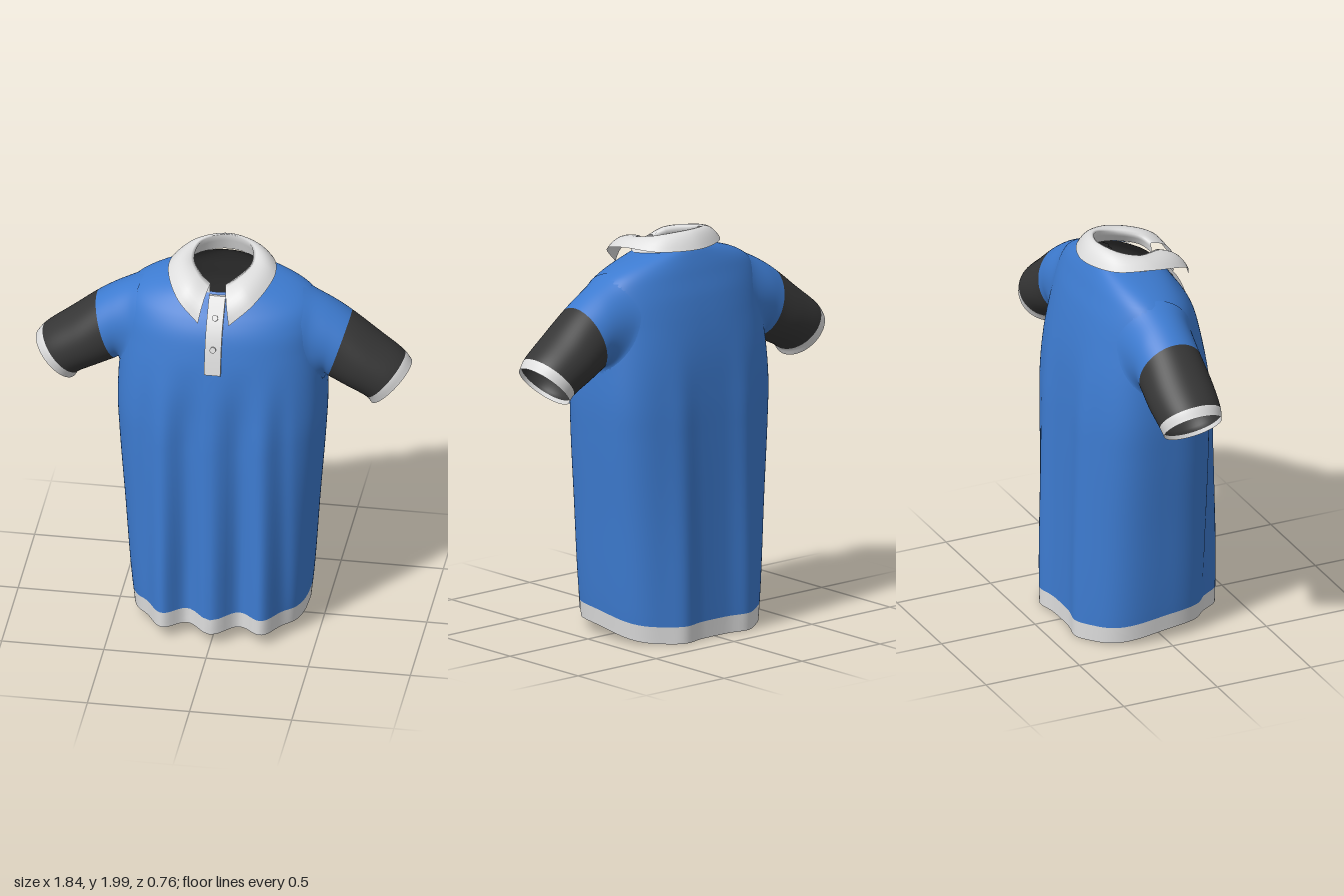
import * as THREE from 'three';

const mat = (name, color, side = THREE.FrontSide) => {
  const m = new THREE.MeshStandardMaterial({ color, side });
  m.name = name;
  return m;
};
const blue = mat('blue cloth', 0x3d7bd0);
const dark = mat('charcoal cloth', 0x363636);
const white = mat('off-white trim', 0xdedede, THREE.DoubleSide);

const { smoothstep } = THREE.MathUtils;

// Skin a list of point rows; materialOf(row) picks the colour, skip(centre) leaves holes
function loft(name, rows, materials, { closed = true, flip = false, materialOf = () => 0, skip = () => false } = {}) {
  const n = rows[0].length, pos = [];
  const buckets = materials.map(() => []);
  rows.forEach(row => row.forEach(p => pos.push(p.x, p.y, p.z)));
  for (let r = 0; r < rows.length - 1; r++) {
    for (let c = 0; c < (closed ? n : n - 1); c++) {
      const c1 = (c + 1) % n;
      const mid = rows[r][c].clone().add(rows[r + 1][c1]).multiplyScalar(0.5);
      if (skip(mid)) continue;
      const a = r * n + c, b = r * n + c1, d = b + n, e = a + n;
      buckets[materialOf(r)].push(...(flip ? [a, d, b, a, e, d] : [a, b, d, a, d, e]));
    }
  }
  const geo = new THREE.BufferGeometry();
  geo.setAttribute('position', new THREE.Float32BufferAttribute(pos, 3));
  let start = 0;
  buckets.forEach((b, i) => { geo.addGroup(start, b.length, i); start += b.length; });
  geo.setIndex(buckets.flat());
  geo.computeVertexNormals();
  const mesh = new THREE.Mesh(geo, materials);
  mesh.name = name;
  return mesh;
}

// Torso levels: height, half width, front depth, back depth
const levels = [
  [0, 0.42, 0.335, 0.36], [0.15, 0.435, 0.335, 0.36], [0.6, 0.465, 0.332, 0.355],
  [1.0, 0.495, 0.328, 0.35], [1.2, 0.505, 0.322, 0.345], [1.4, 0.5, 0.312, 0.332],
  [1.55, 0.492, 0.292, 0.31], [1.68, 0.486, 0.258, 0.28], [1.76, 0.458, 0.222, 0.25],
  [1.8, 0.415, 0.197, 0.235], [1.84, 0.335, 0.172, 0.218], [1.872, 0.237, 0.15, 0.203], [1.885, 0.19, 0.138, 0.195],
];
const profile = new THREE.CubicInterpolant(levels.map(l => l[0]), levels.flatMap(l => l.slice(1)), 3);
const levelAt = y => {
  const [w, zf, zb] = profile.evaluate(y);
  const up = smoothstep(y, 1.1, 1.85), zc = -0.045 * up;
  // Centre depth, then reach and squareness of the front and the back half
  return { w, zc, front: { d: zf - zc, n: 2.6 - 0.5 * up }, back: { d: zb + zc, n: 3.2 - 1.0 * up } };
};
const spow = (v, e) => Math.sign(v) * Math.abs(v) ** e;
const neckTilt = y => 0.15 * smoothstep(y, 1.62, 1.885);
const drape = y => (1 - 0.45 * smoothstep(y, 0.2, 1.15)) * (1 - smoothstep(y, 1.05, 1.55));

function bodyPoint(y, a, inset) {
  const { w, zc, front, back } = levelAt(y);
  const c = Math.cos(a);
  const { d, n } = c > 0 ? front : back;
  const x = (w - inset) * spow(Math.sin(a), 2 / n);
  let z = zc + (d - inset) * spow(c, 2 / n);
  // Hanging folds that deepen toward the hem
  const ax = Math.abs(x);
  if (c > 0) z += drape(y) * 0.045 * Math.cos(ax * Math.PI * 8) * (1 - smoothstep(ax, 0.27, 0.4));
  else z -= drape(y) * 0.03 * Math.exp(-(((ax - 0.2) / 0.075) ** 2));
  const hem = 1 - smoothstep(y, 0, 0.6);
  return new THREE.Vector3(x, y + hem * 0.06 * smoothstep(z, -0.388, 0.12) - neckTilt(y) * (z + 0.06), z);
}

const ring = (n, f) => Array.from({ length: n }, (_, i) => f((i / n) * Math.PI * 2));
const armhole = { y: 1.568, z: -0.045, hy: 0.245, hz: 0.205 };

function makeTorso() {
  const ys = [0, 0.012, 0.025, 0.055, 0.085];
  for (let i = 1; i <= 130; i++) ys.push(0.085 + (1.8 * i) / 130);
  const skip = p => Math.abs(p.x) > 0.2 &&
    ((p.y - armhole.y) / armhole.hy) ** 2 + ((p.z - armhole.z) / armhole.hz) ** 2 < 0.86;
  const rows = inset => ys.map((y, i) => ring(144, a => bodyPoint(y, a, i ? inset : 0)));
  const torso = new THREE.Group();
  torso.name = 'torso';
  torso.add(
    loft('bodyAndHem', rows(0), [white, blue], { skip, materialOf: r => (r < 4 ? 0 : 1) }),
    loft('bodyLining', rows(0.012), [white, dark], { skip, flip: true, materialOf: r => (r < 2 ? 0 : 1) }),
  );
  return torso;
}

// Sleeve sections: top x, top y, bottom x, bottom y, half depth
const sections = [
  [0.53, 1.74, 0.502, 1.36, 0.167], [0.622, 1.68, 0.515, 1.352, 0.165], [0.755, 1.572, 0.605, 1.308, 0.168],
  [0.885, 1.468, 0.7, 1.255, 0.157], [0.918, 1.425, 0.722, 1.222, 0.147],
];
const STEPS = 6;

// Where the torso side lies at a given height and depth
function sideX(y, z) {
  const { w, zc, front, back } = levelAt(y);
  const { d, n } = z > zc ? front : back;
  return w * (1 - Math.min(1, Math.abs(z - zc) / d) ** n) ** (1 / n);
}

function sleeveRows(side, scale) {
  const lines = ring(64, a => {
    const ca = Math.cos(a), sa = Math.sin(a);
    const pts = sections.map(([tx, ty, bx, by, hz], i) => {
      const k = i === sections.length - 1 ? 1 : scale;
      return new THREE.Vector3(
        (tx + bx) / 2 + ((tx - bx) / 2) * ca * k,
        (ty + by) / 2 + ((ty - by) / 2) * ca * k,
        armhole.z + hz * sa * k);
    });
    // Flared root that lies on the torso, then a fillet into the sleeve
    const y = armhole.y + armhole.hy * ca, z = armhole.z + armhole.hz * sa;
    const root = new THREE.Vector3(sideX(y, z) - 0.004, y, z);
    const fillet = root.clone().lerp(pts[0], 0.35 + 0.25 * (1 - Math.max(0, ca)));
    fillet.x = THREE.MathUtils.lerp(root.x, pts[0].x, 0.35);
    return new THREE.CatmullRomCurve3([root, fillet, ...pts]).getPoints(STEPS * (sections.length + 1));
  });
  return lines[0].map((_, r) => lines.map(l => l[r].clone().setX(l[r].x * side)));
}

function makeSleeve(side, name) {
  const sleeve = new THREE.Group();
  sleeve.name = name;
  const flip = side < 0;
  sleeve.add(
    loft('sleeveAndCuff', sleeveRows(side, 1), [blue, dark, white],
      { flip, materialOf: r => (r < 3 * STEPS ? 0 : r < 5 * STEPS ? 1 : 2) }),
    loft('sleeveLining', sleeveRows(side, 0.955), [dark, white],
      { flip: !flip, materialOf: r => (r < 5 * STEPS + 3 ? 0 : 1) }),
  );
  return sleeve;
}

// Half curve from front to centre back, mirrored into a full collar line
function collarLine(half) {
  const v = half.map(p => new THREE.Vector3(...p));
  const other = v.slice(0, -1).reverse().map(p => new THREE.Vector3(-p.x, p.y, p.z));
  return new THREE.CatmullRomCurve3([...v, ...other]).getPoints(72);
}

function makeCollar() {
  const base = collarLine([[0.04, 1.848, 0.143], [0.12, 1.862, 0.115], [0.188, 1.875, 0], [0.155, 1.892, -0.128], [0, 1.9, -0.197]]);
  const fold = collarLine([[0.036, 1.9, 0.138], [0.085, 1.925, 0.1], [0.141, 1.945, -0.015], [0.118, 1.978, -0.118], [0, 1.993, -0.17]]);
  const edge = collarLine([[0.075, 1.757, 0.285], [0.188, 1.85, 0.22], [0.262, 1.912, 0.01], [0.2, 1.912, -0.17], [0, 1.91, -0.252]]);
  const rows = [base, base.map((p, i) => p.clone().lerp(fold[i], 0.6))];
  for (let s = 0; s <= 8; s++) {
    const t = s / 8, bulge = t * (1 - t);
    rows.push(fold.map((p, i) => {
      const q = p.clone().lerp(edge[i], t);
      q.y += 0.1 * bulge;
      q.z += 0.7 * bulge * Math.max(0, p.z);
      return q;
    }));
  }
  return loft('collar', rows, [white], { closed: false });
}

function makePlacket() {
  const frontZ = y => {
    const level = y + neckTilt(y) * 0.25;
    const { zc, front } = levelAt(level);
    return zc + front.d + 0.045 * drape(level);
  };
  const placket = new THREE.Group();
  placket.name = 'placket';
  const geo = new THREE.BoxGeometry(0.08, 0.355, 0.018, 1, 14, 1).translate(0, 1.667, 0);
  const p = geo.attributes.position;
  for (let i = 0; i < p.count; i++) p.setZ(i, p.getZ(i) + frontZ(p.getY(i)) + 0.006);
  geo.computeVertexNormals();
  const strip = new THREE.Mesh(geo, white);
  strip.name = 'buttonStrip';
  placket.add(strip);
  for (const y of [1.76, 1.62]) {
    const button = new THREE.Mesh(new THREE.CylinderGeometry(0.015, 0.015, 0.012, 20), white);
    const slope = (frontZ(y - 0.02) - frontZ(y + 0.02)) / 0.04;
    button.rotation.x = Math.PI / 2 - Math.atan(slope);
    button.position.set(0, y, frontZ(y) + 0.018);
    button.name = 'button';
    placket.add(button);
  }
  return placket;
}

export function createModel() {
  const shirt = new THREE.Group();
  shirt.name = 'poloShirt';
  shirt.add(makeTorso(), makeSleeve(1, 'leftSleeve'), makeSleeve(-1, 'rightSleeve'), makeCollar(), makePlacket());
  return shirt;
}
